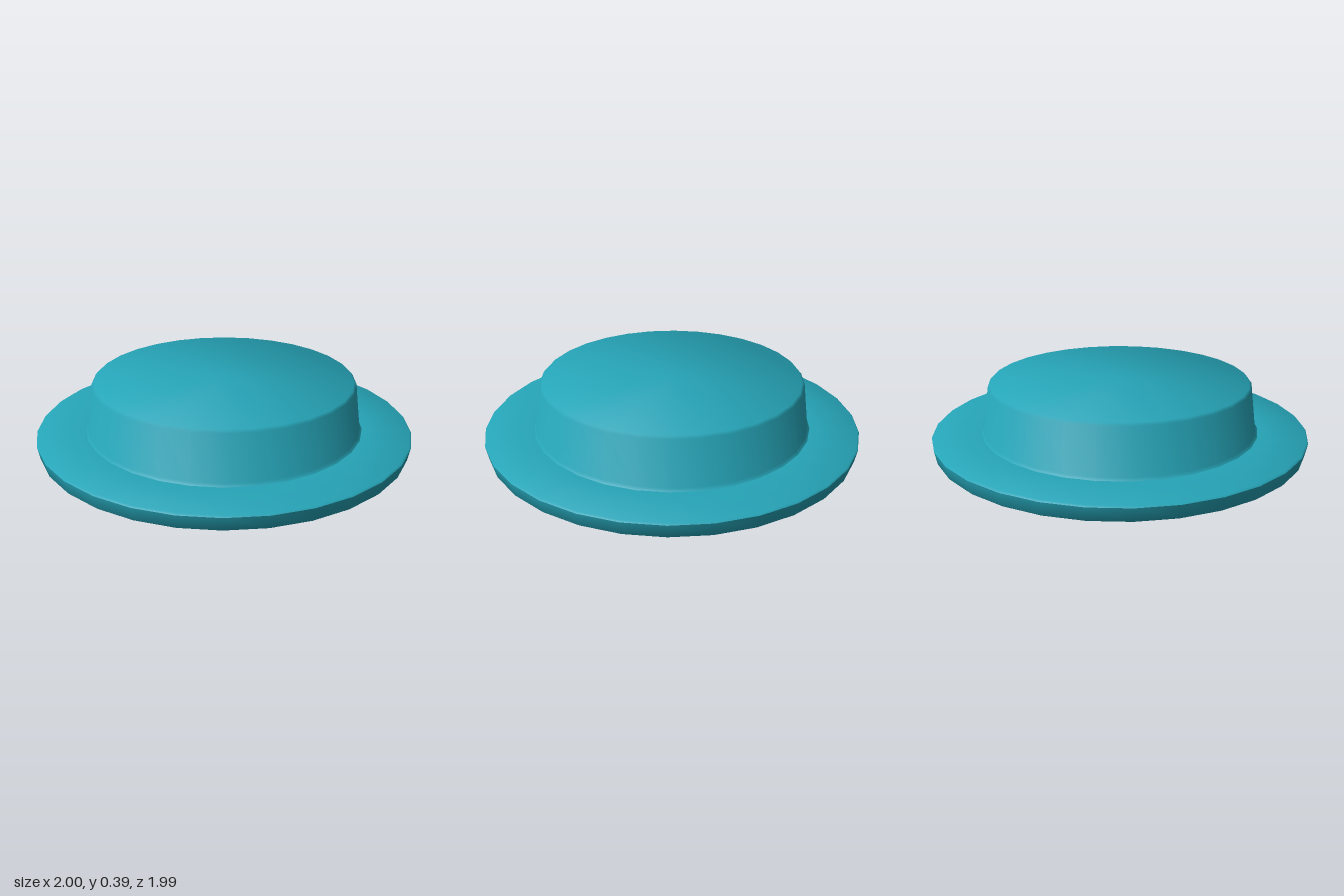
import * as THREE from 'three';
import { toCreasedNormals } from 'three/addons/utils/BufferGeometryUtils.js';

const SIDES = 30;

// Turns a [radius, height] profile, listed from the bottom up, around the y axis
function turned(name, profile, material) {
  const points = profile.map(([r, y]) => new THREE.Vector2(r, y));
  const lathe = new THREE.LatheGeometry(points, SIDES, Math.PI / 2);
  const mesh = new THREE.Mesh(toCreasedNormals(lathe, 0.9), material);
  mesh.name = name;
  return mesh;
}

export function createModel() {
  const group = new THREE.Group();
  group.name = 'flangedCap';
  const material = new THREE.MeshStandardMaterial({ color: 0x26a5b8 });

  // Wide flange with a shallow conical underside and a flared, softened rim
  group.add(turned('flange', [
    [0, 0], [0.98, 0.04], [0.986, 0.046], [1, 0.114], [0.992, 0.122], [0.74, 0.122],
  ], material));

  // Tapered crown with a small fillet at its foot and a bevelled top edge
  group.add(turned('crown', [
    [0.74, 0.122], [0.727, 0.136], [0.697, 0.374], [0.685, 0.388], [0, 0.388],
  ], material));

  return group;
}
